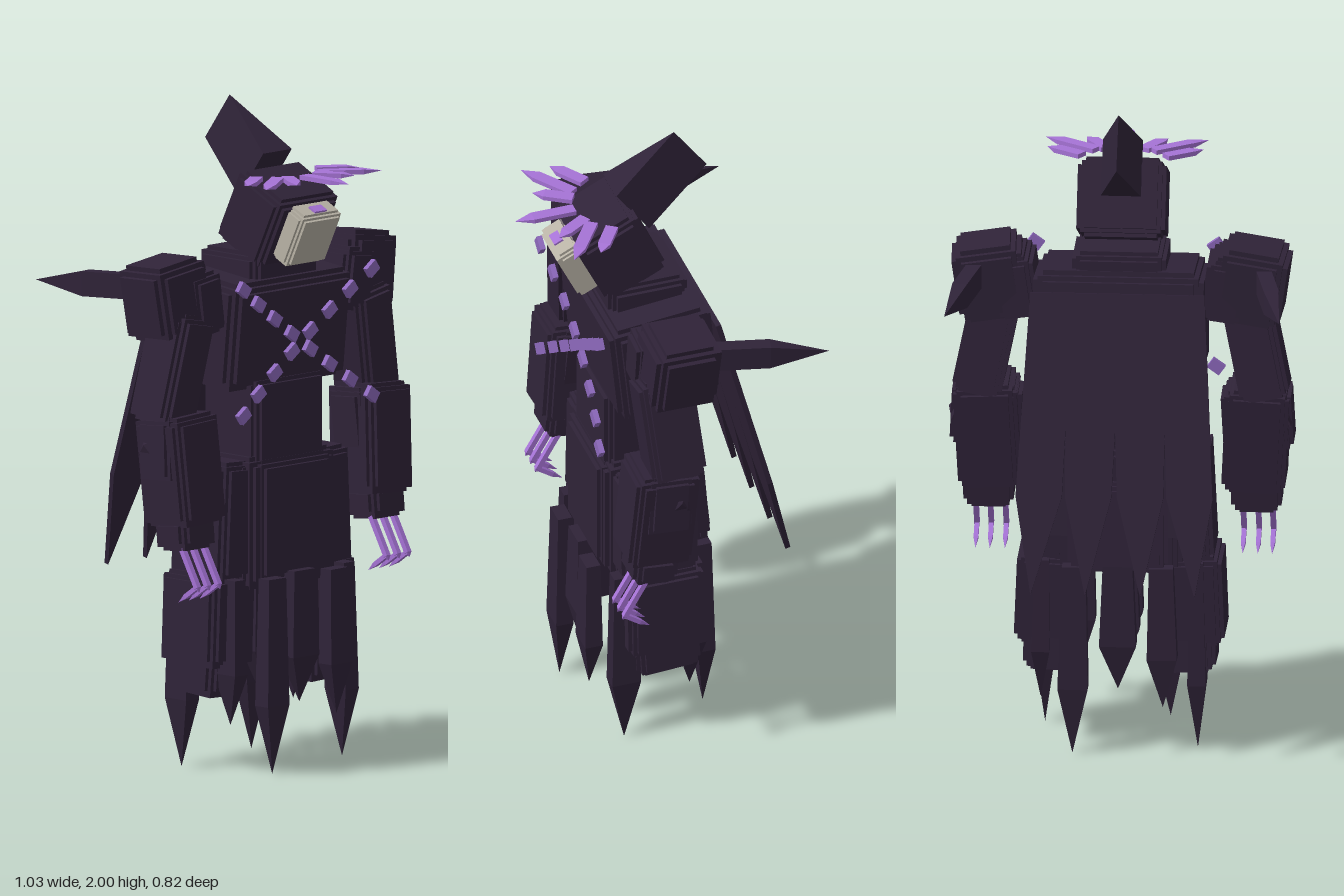
import * as THREE from 'three';

const mat = (name, color) => {
  const m = new THREE.MeshStandardMaterial({ color, flatShading: true });
  m.name = name;
  return m;
};
const V = (x, y, z) => new THREE.Vector3(x, y, z);

export function createModel() {
  const model = new THREE.Group();
  const dark = mat('dark plum', 0x2f2338);
  const violet = mat('violet', 0xa673d6);
  const strapMat = mat('muted violet', 0x8e69bd);
  const bone = mat('bone grey', 0xb9b3a6);

  const add = (name, geo, material, pos, rot = [0, 0, 0], parent = model) => {
    const m = new THREE.Mesh(geo, material);
    m.name = name;
    m.position.set(...pos);
    m.rotation.set(...rot);
    parent.add(m);
    return m;
  };

  // Armour block: a core box with a raised panel on every face
  const block = (name, [w, h, d], pos, rot = [0, 0, 0], material = dark, s = 0.012, parent = model) => {
    const g = new THREE.Group();
    g.name = name;
    g.position.set(...pos);
    g.rotation.set(...rot);
    parent.add(g);
    const box = (a, b, c) => add(name + 'Panel', new THREE.BoxGeometry(a, b, c), material, [0, 0, 0], [0, 0, 0], g);
    const e = 4 * s;
    box(w - 2 * s, h - 2 * s, d - 2 * s);
    box(w, h - e, d - e);
    box(w - e, h, d - e);
    box(w - e, h - e, d);
  };

  // Square-section spike between two points; n is the thickness direction
  const blade = (name, from, to, w, t, n, material = dark, shoulder = 0.65, root = 0.8) => {
    const dir = to.clone().sub(from), len = dir.length();
    dir.normalize();
    const r = Math.SQRT1_2;
    const geo = new THREE.LatheGeometry([
      new THREE.Vector2(0, 0), new THREE.Vector2(r * root, 0),
      new THREE.Vector2(r, shoulder), new THREE.Vector2(0, 1),
    ], 4, Math.PI / 4);
    geo.scale(w, len, t);
    const x = dir.clone().cross(n).normalize();
    const z = x.clone().cross(dir);
    geo.applyMatrix4(new THREE.Matrix4().makeBasis(x, dir, z));
    add(name, geo, material, from.toArray());
  };

  // Head with mask, bowed forward
  const head = new THREE.Group();
  head.name = 'head';
  head.position.set(0, 1.66, 0.11);
  head.rotation.x = 0.45;
  model.add(head);
  block('hood', [0.265, 0.24, 0.21], [0, 0, 0], [0, 0, 0], dark, 0.012, head);
  block('mask', [0.175, 0.18, 0.085], [0, 0.014, 0.126], [0, 0, 0], bone, 0.008, head);
  add('browMark', new THREE.BoxGeometry(0.05, 0.008, 0.03), violet, [0, 0.106, 0.135], [0, 0, 0], head);

  // Crest: a wedge sweeping back from the hood
  const wedge = new THREE.Shape([
    new THREE.Vector2(-0.06, 0), new THREE.Vector2(0.06, 0), new THREE.Vector2(0, 0.25),
  ]);
  add('crest', new THREE.ExtrudeGeometry(wedge, { depth: 0.175, bevelEnabled: false }), dark,
    [0, 1.71, 0.005], [-0.94, 0, 0]);

  // Crown of flat spikes
  const up = V(0, 1, 0);
  const crown = (x0, z0, x1, z1) => blade('crownSpike', V(x0, 1.788, z0), V(x1, 1.788, z1), 0.038, 0.014, up, violet, 0.7, 1);
  crown(0, 0.22, 0, 0.408);
  for (const s of [-1, 1]) {
    crown(s * 0.055, 0.205, s * 0.122, 0.312);
    crown(s * 0.085, 0.195, s * 0.244, 0.305);
    crown(s * 0.125, 0.145, s * 0.234, 0.218);
  }

  // Torso, leaning slightly forward
  block('collar', [0.28, 0.1, 0.25], [0, 1.51, 0.03]);
  block('chest', [0.51, 0.33, 0.32], [0, 1.33, 0.015], [0.1, 0, 0], dark, 0.015);
  block('upperBack', [0.36, 0.24, 0.08], [0, 1.31, -0.125], [0.15, 0, 0]);
  block('waist', [0.3, 0.28, 0.24], [0, 1.05, 0.05]);
  block('hips', [0.38, 0.4, 0.28], [0, 0.75, 0.04], [0, 0, 0], dark, 0.014);
  block('frontPlate', [0.31, 0.37, 0.05], [0, 0.755, 0.17]);
  block('backPlate', [0.3, 0.27, 0.06], [0, 0.715, -0.125], [0.08, 0, 0]);

  // Crossed straps made of small links
  for (const s of [-1, 1]) {
    for (let i = 0; i < 8; i++) {
      const t = i / 3.5 - 1;
      add('strapLink', new THREE.BoxGeometry(0.044, 0.035, 0.017), strapMat,
        [s * t * 0.27, 1.29 - t * 0.19, 0.207 + 0.028 * t * t], [0, 0, -s * 0.62]);
    }
  }

  for (const s of [-1, 1]) {
    // Arm
    block('shoulder', [0.21, 0.23, 0.21], [s * 0.39, 1.445, 0.03], [-0.05, s * 0.05, -s * 0.14], dark, 0.015);
    block('shoulderTrim', [0.13, 0.19, 0.22], [s * 0.315, 1.43, 0.04], [0, 0, -s * 0.14]);
    block('upperArm', [0.15, 0.34, 0.17], [s * 0.4, 1.24, 0.065], [0.08, 0, s * 0.2]);
    block('forearm', [0.19, 0.33, 0.2], [s * 0.4, 0.94, 0.1], [-0.08, 0, -s * 0.05]);
    block('elbowGuard', [0.21, 0.2, 0.15], [s * 0.405, 1.0, 0.09], [-0.08, 0, s * 0.05]);
    block('wrist', [0.15, 0.1, 0.14], [s * 0.4, 0.75, 0.12], [-0.1, 0, 0]);
    blade('elbowSpike', V(s * 0.46, 1.0, 0.06), V(s * 0.517, 1.02, 0.06), 0.06, 0.06, V(0, 0, 1));
    blade('shoulderSpike', V(s * 0.43, 1.475, -0.06), V(s * 0.5, 1.462, -0.41), 0.075, 0.045, V(1, 0, 0.2), dark, 0.5, 1);

    // Claws with a bent tip
    for (const x of [0.355, 0.4, 0.443]) {
      blade('claw', V(s * x, 0.71, 0.15), V(s * x, 0.585, 0.222), 0.016, 0.016, V(1, 0, 0), violet, 0.9, 1);
      blade('clawTip', V(s * x, 0.6, 0.215), V(s * x, 0.545, 0.135), 0.014, 0.014, V(1, 0, 0), violet, 0.6, 1);
    }

    // Hip and leg armour
    block('hipGuard', [0.13, 0.36, 0.24], [s * 0.21, 0.76, 0.04], [0, 0, s * 0.05]);
    block('hipGuardBack', [0.16, 0.3, 0.12], [s * 0.16, 0.82, -0.06], [0.1, 0, 0]);
    block('thigh', [0.19, 0.28, 0.24], [s * 0.215, 0.46, 0.03], [0, 0, s * 0.04]);
    block('shin', [0.15, 0.26, 0.2], [s * 0.21, 0.36, 0.02], [0.06, 0, s * 0.03]);

    // Skirt blades: long and short ones alternate around the body
    for (const f of [-1, 1]) {
      const z = 0.042 + f * 0.175, long = s * f < 0;
      blade('skirtBlade', V(s * 0.13, 0.59, z), V(s * 0.135, long ? 0 : 0.15, z + f * 0.004),
        0.09, 0.055, V(0, 0, 1));
      blade('flankBlade', V(s * 0.23, 0.59, 0.042 + f * 0.103), V(s * 0.235, long ? 0.15 : 0, 0.042 + f * 0.103),
        0.09, 0.055, V(1, 0, 0));
    }
  }
  for (const z of [0.2, 0.04, -0.12]) {
    blade('middleBlade', V(0, 0.6, z), V(0, 0.2, z), 0.11, 0.06, V(0, 0, 1));
  }

  // Cape: one thin sheet ending in four points
  const cape = [[-0.26, 0]];
  for (const x of [-0.225, -0.0775, 0.0775, 0.225]) {
    const lean = Math.sign(x) * (Math.abs(x) > 0.1 ? 0.02 : 0.005);
    if (x > -0.2) cape.push([Math.round(x / 0.155 - 0.5) * 0.148, -0.4]);
    cape.push([x - 0.069, -0.61], [x + lean, -0.905], [x + 0.069, -0.61]);
  }
  cape.push([0.26, 0]);
  add('cape', new THREE.ExtrudeGeometry(new THREE.Shape(cape.map(p => new THREE.Vector2(...p))),
    { depth: 0.016, bevelEnabled: false }), dark, [0, 1.455, -0.152], [0.25, 0, 0]);

  return model;
}
